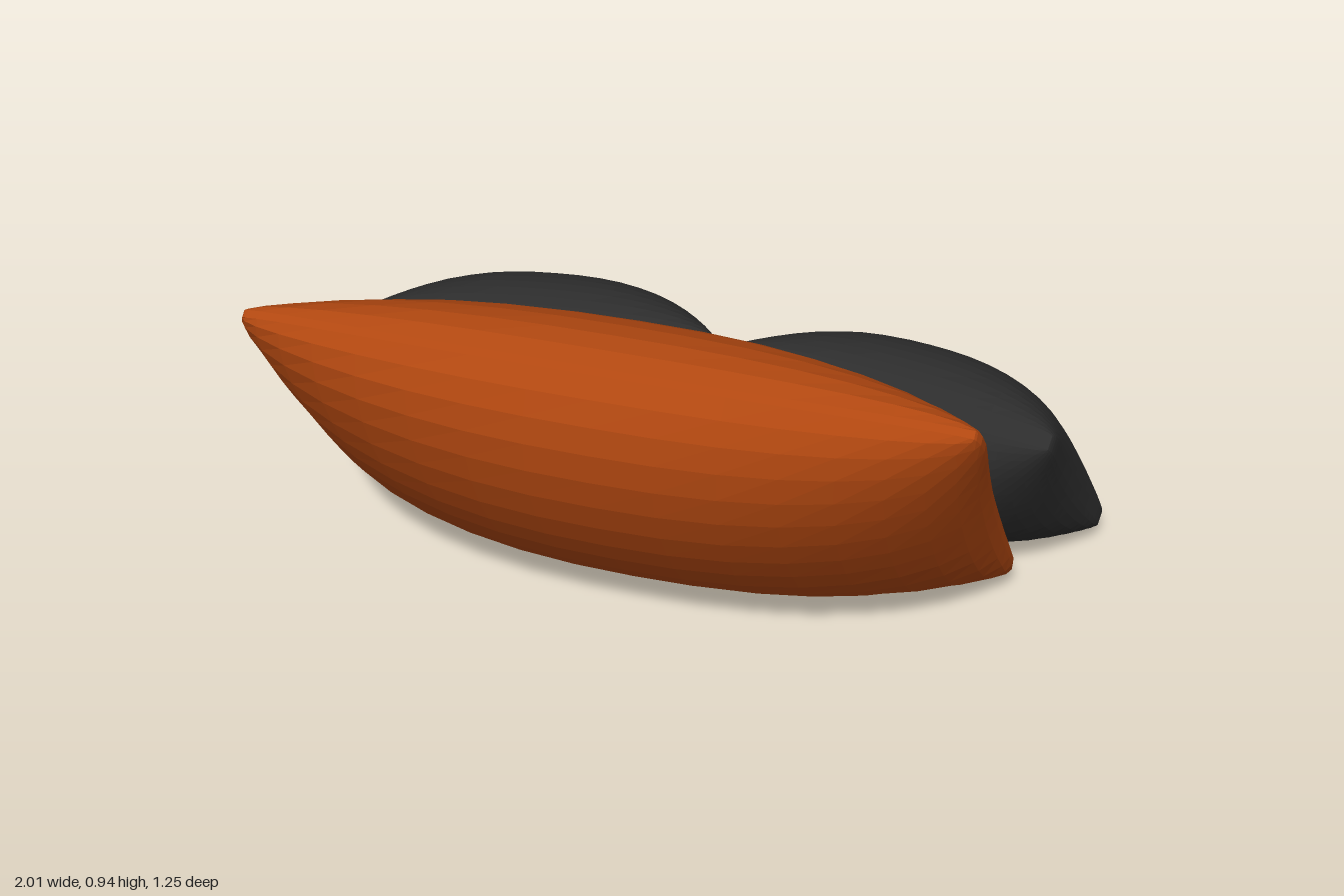
import * as THREE from 'three';

// Dome falloff across a cushion: 1 in the middle, 0 at the seam; a higher power slims the rim
const dome = (t, power) => Math.pow(Math.max(0, 1 - Math.pow(Math.abs(t), 2.35)), power);

// Puffed cushion: a thin subdivided box whose two faces swell and whose edges pull inward
function cushion(name, { width, height, front, back, edge, pinch, rimX, rimY, cols, rows, color, pos, tilt, yaw }) {
  const box = new THREE.BoxGeometry(2, 2, 2, cols, rows, 1);
  const p = box.attributes.position;
  for (let i = 0; i < p.count; i++) {
    // rows crowd together towards the seam
    const u = Math.sin(p.getX(i) * Math.PI / 2);
    const v = Math.sin(p.getY(i) * Math.PI / 2);
    const side = p.getZ(i);
    const corner = 1 - 0.03 * Math.pow(Math.abs(u * v), 12);
    const swell = edge + (side > 0 ? front : back) * dome(u, rimX) * dome(v, rimY);
    p.setXYZ(
      i,
      (width / 2) * u * corner * (1 - pinch * (1 - v * v)),
      (height / 2) * v * corner * (1 - pinch * (1 - u * u)),
      side * swell
    );
  }
  const geometry = box.toNonIndexed();
  geometry.computeVertexNormals();
  const mesh = new THREE.Mesh(geometry, new THREE.MeshStandardMaterial({ color, flatShading: true }));
  mesh.name = name;
  mesh.position.set(...pos);
  mesh.rotation.set(tilt, yaw, 0, 'YXZ');
  return mesh;
}

export function createModel() {
  const model = new THREE.Group();
  model.name = 'cushions';

  // Wide cushion leaning forward
  model.add(cushion('largeCushion', {
    width: 1.85, height: 1.11, front: 0.29, back: 0.25, edge: 0.01, pinch: 0.025, rimX: 0.62, rimY: 0.52,
    cols: 18, rows: 16, color: 0xb04710, pos: [-0.09, 0.477, 0.21], tilt: 0.657, yaw: 0
  }));

  // Two small cushions resting behind it
  const small = {
    height: 0.755, front: 0.21, back: 0.215, edge: 0.018, pinch: 0.045, rimX: 0.6, rimY: 0.56,
    cols: 24, rows: 24, color: 0x2d2d2d
  };
  model.add(cushion('leftSmallCushion', {
    ...small, width: 0.92, pos: [0.518, 0.33, -0.237], tilt: 0.73, yaw: -0.175
  }));
  model.add(cushion('rightSmallCushion', {
    ...small, width: 0.95, pos: [-0.5, 0.335, -0.292], tilt: 0.745, yaw: 0.146
  }));

  return model;
}
